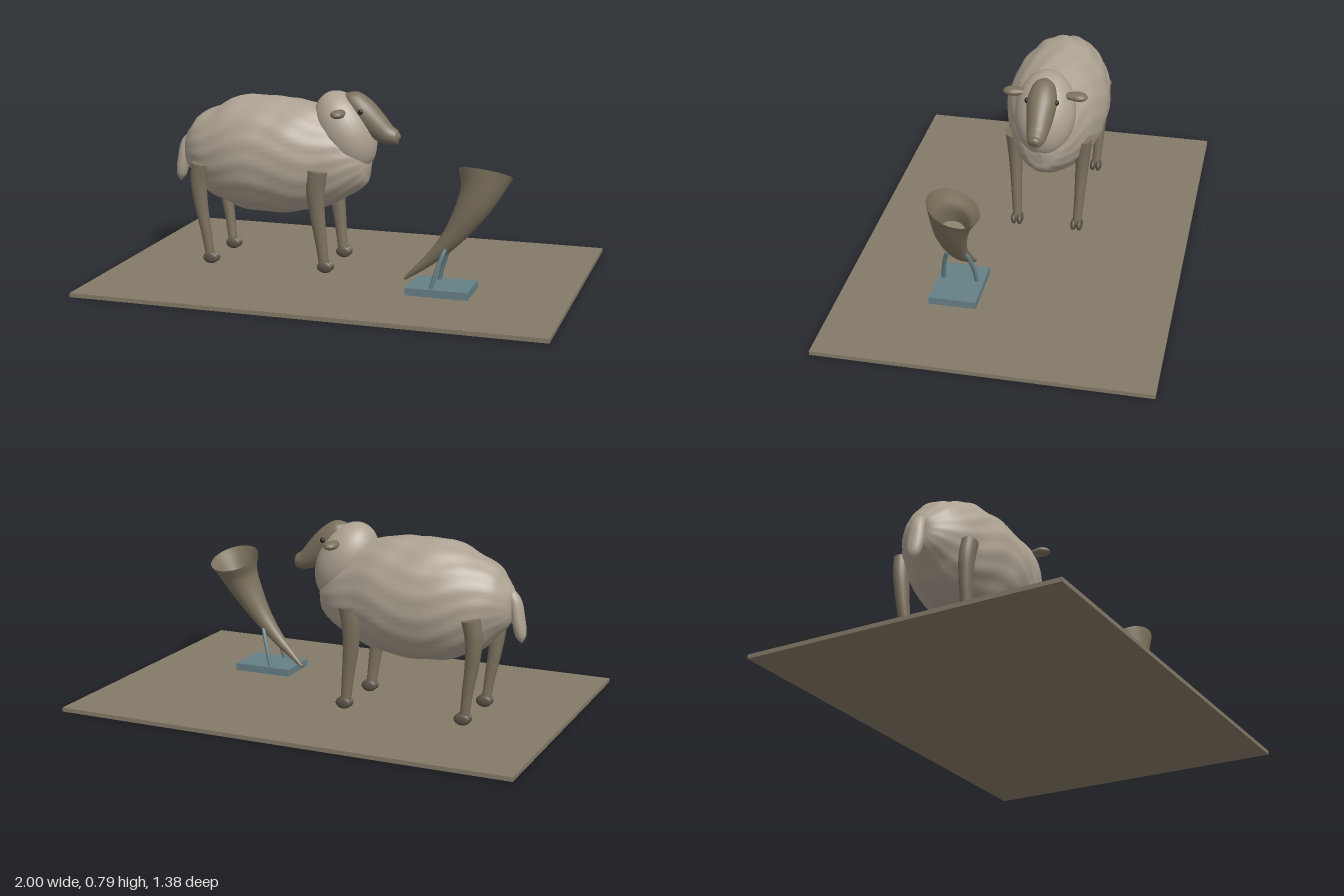
import * as THREE from 'three';

const mat = (name, color) => {
  const m = new THREE.MeshStandardMaterial({ color });
  m.name = name;
  return m;
};

// Skin through elliptical stations [x, y, z, radiusAcross, radiusUp] along a smooth path
function loft(stations, o = {}) {
  const { steps = 6, sides = 24, ref = new THREE.Vector3(0, 0, 1), flip = false, openEnd = false, endTangent } = o;
  const spline = (f) => new THREE.CatmullRomCurve3(stations.map(f), false, 'catmullrom');
  const path = spline((s) => new THREE.Vector3(s[0], s[1], s[2]));
  const radii = spline((s) => new THREE.Vector3(s[3], s[4], 0));
  const rings = (stations.length - 1) * steps;
  const pos = [], idx = [];
  const tri = (a, b, c) => (flip ? idx.push(a, c, b) : idx.push(a, b, c));
  for (let i = 0; i <= rings; i++) {
    const t = i / rings;
    const c = path.getPoint(t), r = radii.getPoint(t), T = path.getTangent(t);
    if (endTangent) T.lerp(endTangent, t ** 3).normalize();
    const u = ref.clone().addScaledVector(T, -ref.dot(T)).normalize();
    const v = T.clone().cross(u);
    for (let j = 0; j < sides; j++) {
      const a = (j / sides) * Math.PI * 2;
      const p = c.clone()
        .addScaledVector(u, Math.cos(a) * Math.max(r.x, 0))
        .addScaledVector(v, Math.sin(a) * Math.max(r.y, 0));
      pos.push(p.x, p.y, p.z);
    }
  }
  for (let i = 0; i < rings; i++) {
    for (let j = 0; j < sides; j++) {
      const k = (j + 1) % sides;
      const a = i * sides + j, b = i * sides + k;
      tri(a, b, a + sides);
      tri(b, b + sides, a + sides);
    }
  }
  // Flat caps with their own corners
  const cap = (ring, s, end) => {
    if (s[3] < 0.001) return;
    const base = pos.length / 3;
    pos.push(...pos.slice(ring * sides * 3, (ring + 1) * sides * 3), s[0], s[1], s[2]);
    for (let j = 0; j < sides; j++) {
      const a = base + j, b = base + ((j + 1) % sides);
      if (end) tri(a, b, base + sides);
      else tri(b, a, base + sides);
    }
  };
  cap(0, stations[0], false);
  if (!openEnd) cap(rings, stations[stations.length - 1], true);
  const g = new THREE.BufferGeometry();
  g.setAttribute('position', new THREE.Float32BufferAttribute(pos, 3));
  g.setIndex(idx);
  g.computeVertexNormals();
  return g;
}

export function createModel() {
  const root = new THREE.Group();
  root.name = 'sheepAndHorn';
  const wool = mat('wool', 0xada292);
  const skin = mat('skin', 0x7c715f);
  const hoofMat = mat('hoof', 0x5b5447);
  const dark = mat('eye', 0x25231f);
  const groundMat = mat('ground', 0x857a68);
  const hornMat = mat('horn', 0x7f7460);
  const steel = mat('stand', 0x668086);

  const add = (parent, name, geo, material, x = 0, y = 0, z = 0) => {
    const m = new THREE.Mesh(geo, material);
    m.name = name;
    m.position.set(x, y, z);
    parent.add(m);
    return m;
  };
  const ball = (parent, name, material, p, s) => {
    const m = add(parent, name, new THREE.SphereGeometry(1, 32, 20), material, ...p);
    m.scale.set(...s);
    return m;
  };

  add(root, 'ground', new THREE.BoxGeometry(2, 0.018, 1.38), groundMat, 0, 0.009, 0);

  const sheep = new THREE.Group();
  sheep.name = 'sheep';
  sheep.position.z = -0.06;
  root.add(sheep);

  // Fleece with soft uneven ridges
  const body = loft([
    [-0.785, 0.53, 0, 0, 0], [-0.775, 0.53, 0, 0.05, 0.06], [-0.74, 0.525, 0, 0.1, 0.12],
    [-0.68, 0.52, 0, 0.145, 0.17], [-0.6, 0.51, 0, 0.18, 0.22], [-0.5, 0.505, 0, 0.21, 0.25],
    [-0.38, 0.5, 0, 0.222, 0.257], [-0.25, 0.5, 0, 0.212, 0.247], [-0.13, 0.495, 0, 0.172, 0.22],
    [-0.03, 0.49, 0, 0.135, 0.165], [0.04, 0.485, 0, 0.09, 0.115], [0.065, 0.485, 0, 0.05, 0.06],
    [0.08, 0.485, 0, 0, 0],
  ], { sides: 72 });
  const p = body.attributes.position;
  for (let i = 0; i < p.count; i++) {
    const x = p.getX(i), y = p.getY(i) - 0.5, z = p.getZ(i);
    const a = Math.atan2(z, y);
    const d = 1 + 0.012 * Math.sin(a * 15 + 3 * Math.sin(x * 11)) + 0.008 * Math.sin(x * 34 + a * 4);
    p.setY(i, 0.5 + y * d);
    p.setZ(i, z * d);
  }
  body.computeVertexNormals();
  add(sheep, 'fleece', body, wool);

  const neck = ball(sheep, 'neckWool', wool, [-0.04, 0.62, 0], [0.125, 0.185, 0.13]);
  neck.rotation.z = 0.46;

  add(sheep, 'tail', loft([
    [-0.74, 0.58, 0, 0.015, 0.015], [-0.785, 0.53, 0, 0.03, 0.025], [-0.803, 0.45, 0, 0.036, 0.027],
    [-0.815, 0.385, 0, 0.027, 0.022], [-0.82, 0.35, 0, 0, 0],
  ]), wool);

  add(sheep, 'face', loft([
    [-0.05, 0.782, 0, 0, 0], [-0.025, 0.768, 0, 0.038, 0.03], [0.0, 0.75, 0, 0.053, 0.05],
    [0.04, 0.71, 0, 0.063, 0.06], [0.09, 0.66, 0, 0.056, 0.058], [0.14, 0.62, 0, 0.045, 0.046],
    [0.185, 0.603, 0, 0.034, 0.033], [0.2, 0.6, 0, 0.018, 0.019], [0.205, 0.598, 0, 0, 0],
  ], { sides: 32 }), skin);

  // Mirrored parts
  for (const s of [1, -1]) {
    const side = s > 0 ? 'left' : 'right';
    add(sheep, side + 'Ear', loft([
      [-0.03, 0.713, s * 0.07, 0.014, 0.012], [-0.03, 0.716, s * 0.105, 0.022, 0.015],
      [-0.03, 0.716, s * 0.145, 0.031, 0.018], [-0.03, 0.714, s * 0.172, 0.02, 0.012],
      [-0.03, 0.712, s * 0.183, 0, 0],
    ], { ref: new THREE.Vector3(1, 0, 0) }), skin);
    ball(sheep, side + 'Eye', dark, [0.046, 0.717, s * 0.064], [0.011, 0.011, 0.009]);
    ball(sheep, side + 'Nostril', dark, [0.197, 0.609, s * 0.013], [0.004, 0.004, 0.004]);

    const legs = {
      FrontLeg: { xs: [-0.095, -0.106, -0.122, -0.127, -0.118], top: 0.158, wide: 1 },
      HindLeg: { xs: [-0.627, -0.64, -0.66, -0.667, -0.655], top: 0.16, wide: 0.88 },
    };
    for (const [name, { xs, top, wide }] of Object.entries(legs)) {
      const leg = new THREE.Group();
      leg.name = side + name;
      sheep.add(leg);
      const ys = [0.045, 0.15, 0.28, 0.39, 0.47];
      const rz = [0.02, 0.022, 0.027, 0.032, 0.033];
      const rx = [0.022, 0.026, 0.034, 0.042, 0.045];
      add(leg, 'shank', loft(xs.map((x, i) =>
        [x, ys[i], s * (0.135 + (top - 0.135) * i / 4), rz[i], rx[i] * wide])), skin);
      for (const t of [1, -1]) {
        ball(leg, 'hoof', hoofMat, [xs[0] + 0.006, 0.044, s * 0.135 + t * 0.013], [0.035, 0.026, 0.014]);
      }
    }
  }

  // Curved horn with a hollow, tilted mouth
  const horn = new THREE.Group();
  horn.name = 'horn';
  root.add(horn);
  const endTangent = new THREE.Vector3(0.11, 1, -0.38).normalize();
  const round = (list) => list.map(([x, y, z, r]) => [x, y, z, r, r]);
  add(horn, 'hornShell', loft(round([
    [0.295, 0.052, 0.178, 0.007], [0.36, 0.107, 0.19, 0.018], [0.44, 0.18, 0.2, 0.03],
    [0.515, 0.268, 0.205, 0.046], [0.58, 0.37, 0.203, 0.067], [0.62, 0.455, 0.194, 0.086],
    [0.635, 0.525, 0.18, 0.112],
  ]), { sides: 40, openEnd: true, endTangent }), hornMat);
  add(horn, 'hornHollow', loft(round([
    [0.58, 0.37, 0.203, 0.058], [0.62, 0.455, 0.194, 0.078], [0.635, 0.525, 0.18, 0.112],
  ]), { sides: 40, openEnd: true, flip: true, endTangent }), hornMat);

  // Stand with two bent prongs
  const stand = new THREE.Group();
  stand.name = 'stand';
  root.add(stand);
  add(stand, 'standBase', new THREE.BoxGeometry(0.265, 0.032, 0.2), steel, 0.4625, 0.034, 0.207);
  for (const s of [1, -1]) {
    add(stand, 'prong', loft(round([
      [0.435, 0.045, 0.21 + s * 0.073, 0.009], [0.455, 0.12, 0.21 + s * 0.064, 0.009],
      [0.475, 0.18, 0.21 + s * 0.05, 0.009], [0.487, 0.212, 0.21 + s * 0.038, 0.008],
    ]), { sides: 12 }), steel);
  }
  return root;
}
